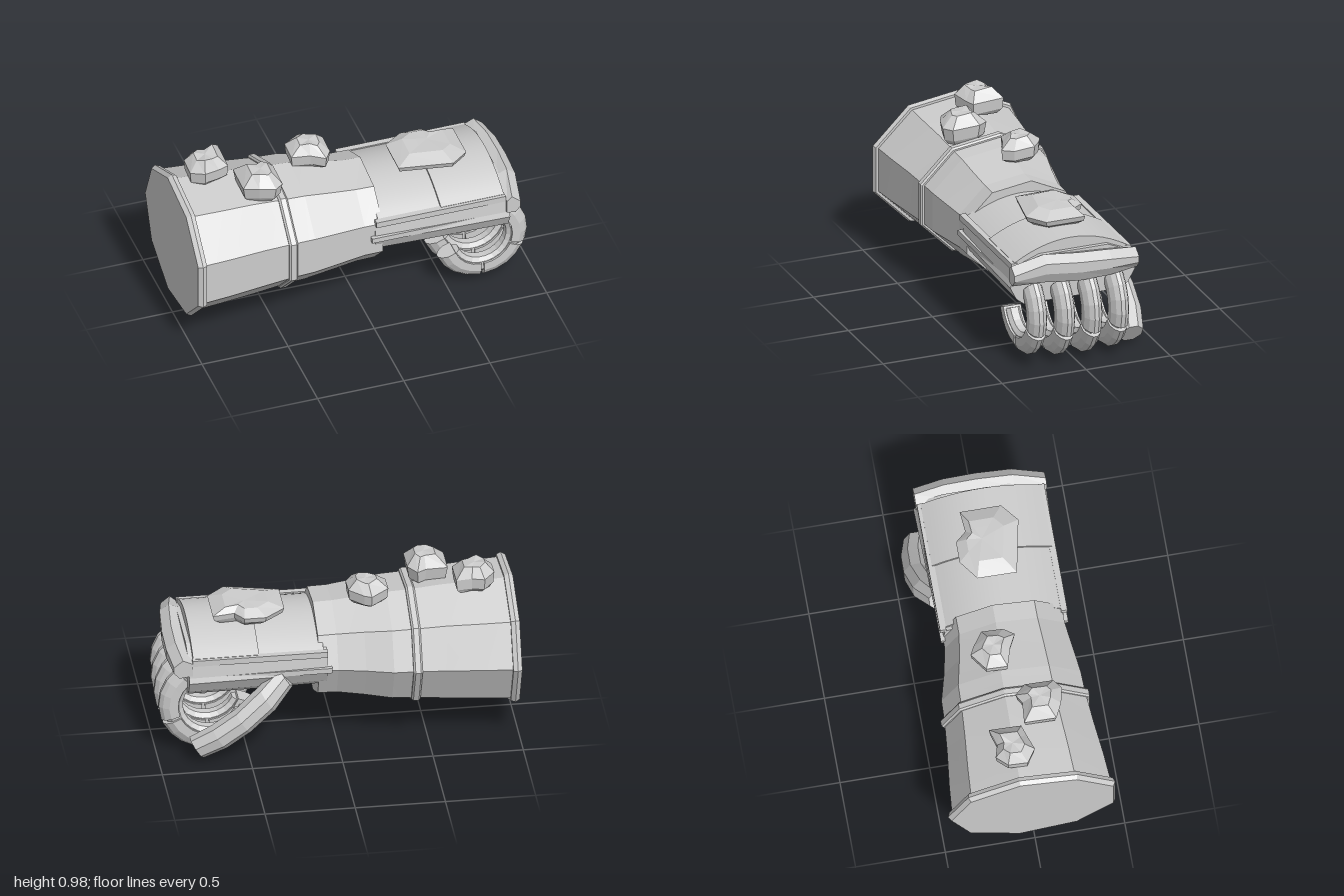
import * as THREE from 'three';
import { toCreasedNormals } from 'three/addons/utils/BufferGeometryUtils.js';

const steel = new THREE.MeshStandardMaterial({ color: 0xcccccc });
steel.name = 'pale grey';

// Skin a list of equal-length rings into a closed solid, always facing outwards
function loft(rings, crease = 0.05) {
  const tris = [];
  const n = rings[0].length;
  for (let i = 0; i < rings.length - 1; i++) {
    for (let j = 0; j < n; j++) {
      const k = (j + 1) % n;
      const a = rings[i][j], b = rings[i][k], c = rings[i + 1][k], d = rings[i + 1][j];
      tris.push([a, b, c], [a, c, d]);
    }
  }
  const cap = (ring, flip) => {
    const mid = ring.reduce((s, p) => s.add(p), new THREE.Vector3()).divideScalar(n);
    ring.forEach((p, j) => {
      const q = ring[(j + 1) % n];
      tris.push(flip ? [mid, q, p] : [mid, p, q]);
    });
  };
  cap(rings[0], true);
  cap(rings[rings.length - 1], false);
  const cross = new THREE.Vector3();
  const volume = tris.reduce((s, [a, b, c]) => s + a.dot(cross.crossVectors(b, c)), 0);
  const points = tris.flatMap(([a, b, c]) => (volume < 0 ? [a, c, b] : [a, b, c]));
  const geometry = new THREE.BufferGeometry().setFromPoints(points);
  return toCreasedNormals(geometry, crease);
}

const V = (x, y, z) => new THREE.Vector3(x, y, z);

function add(parent, name, geometry) {
  const mesh = new THREE.Mesh(geometry, steel);
  mesh.name = name;
  parent.add(mesh);
  return mesh;
}

function addBox(parent, name, x0, x1, y0, y1, z0, z1) {
  add(parent, name, new THREE.BoxGeometry(x1 - x0, y1 - y0, z1 - z0))
    .position.set((x0 + x1) / 2, (y0 + y1) / 2, (z0 + z1) / 2);
}

// Nine-sided elliptical ring of the forearm
const sleeveRing = ([x, ry, rz, cz = 0]) => Array.from({ length: 9 }, (_, i) => {
  const a = (20 + i * 40) * Math.PI / 180;
  return V(x, 0.497 + ry * Math.sin(a), cz + rz * Math.cos(a));
});

// Faceted stone: its plan outline at several heights, [y, scale] per layer
function stone(outline, layers, lean = 0) {
  const c = outline.reduce((s, p) => [s[0] + p[0] / outline.length, s[1] + p[1] / outline.length], [0, 0]);
  return loft(layers.map(([y, s], i) => outline.map(([x, z], j) =>
    V(c[0] + (x - c[0]) * s, y + (i && j % 3 === 0 ? lean : 0), c[1] + (z - c[1]) * s))));
}

// Bent bar following an arc in the x-y plane; profile is [radius, z]
function curl(profile, from, to, steps, scale, z) {
  const rings = [];
  for (let i = 0; i <= steps; i++) {
    const a = (from + (to - from) * i / steps) * Math.PI / 180;
    rings.push(profile.map(([r, w]) =>
      V(0.7 + r * scale * Math.cos(a), 0.3 + (1 - scale) * 0.15 + r * scale * Math.sin(a), z + w)));
  }
  return loft(rings);
}

const mirrored = half => [...half, ...half.slice().reverse().map(([r, w]) => [r, -w])];

export function createModel() {
  const group = new THREE.Group();
  group.name = 'gauntlet';

  // Forearm sleeve with its rim and middle band
  add(group, 'sleeve', loft([
    [-0.98, 0.375, 0.45], [-0.95, 0.375, 0.455], [-0.8, 0.367, 0.443], [-0.6, 0.355, 0.42], [-0.43, 0.337, 0.405],
    [-0.3, 0.33, 0.4], [-0.15, 0.307, 0.37, 0.01], [0, 0.285, 0.345, 0.015], [0.105, 0.282, 0.345, 0.015],
  ].map(sleeveRing)));
  add(group, 'cuffRim', loft([[-1, 0.385, 0.465], [-0.975, 0.4, 0.48], [-0.95, 0.39, 0.47]].map(sleeveRing)));
  add(group, 'sleeveBand', loft([[-0.455, 0.345, 0.415], [-0.445, 0.355, 0.425],
    [-0.415, 0.355, 0.425], [-0.405, 0.345, 0.415]].map(sleeveRing)));

  // Palm block
  const palm = [[0.3, 0.385], [0.345, 0.42], [0.38, 0.49], [0.37, 0.52], [0.36, 0.6], [0.2, 0.66],
    [-0.2, 0.66], [-0.34, 0.6], [-0.35, 0.52], [-0.36, 0.49], [-0.32, 0.42], [-0.28, 0.385]];
  add(group, 'palm', loft([[0.06, 0.93], [0.4, 0.97], [0.83, 1]].map(([x, s]) =>
    palm.map(([z, y]) => V(x, y, z * s)))));

  // Two overlapping curved plates over the back of the hand
  const backPlate = (x0, x1, top, half) => {
    const section = [];
    for (let i = 0; i <= 14; i++) {
      const t = i / 7 - 1;
      section.push([0.01 + t * half, top - 0.1 * t * t]);
    }
    section.push([0.01 + half, 0.59], [0.01 - half, 0.59]);
    return loft([x0, x1].map(x => section.map(([z, y]) => V(x, y, z))), 0.4);
  };
  add(group, 'rearHandPlate', backPlate(0.08, 0.46, 0.715, 0.325));
  add(group, 'frontHandPlate', backPlate(0.44, 0.805, 0.727, 0.335));

  // Side rails of the hand
  for (const [z0, z1] of [[0.33, 0.365], [-0.345, -0.31]]) {
    addBox(group, 'lowerRail', 0.035, 0.81, 0.49, 0.52, z0, z1);
    addBox(group, 'upperRail', 0.06, 0.81, 0.59, 0.625, z0, z1);
  }

  // Knuckle guard: [z, top, bottom, front x]
  add(group, 'knuckleGuard', loft([
    [0.38, 0.625, 0.515, 0.89], [0.2, 0.68, 0.522, 0.92], [0, 0.665, 0.505, 0.935],
    [-0.18, 0.655, 0.51, 0.935], [-0.35, 0.635, 0.525, 0.915],
  ].map(([z, t, b, x]) => [V(0.81, b + 0.01, z), V(0.81, t - 0.025, z), V(x - 0.05, t, z),
    V(x, t - 0.04, z), V(x, (t + b) / 2 - 0.02, z), V(x - 0.03, b, z)])));

  // Four curled fingers, each with three armour segments over a core
  const core = mirrored([[0.155, 0.022], [0.18, 0.04], [0.235, 0.04], [0.262, 0.02]]);
  const armour = mirrored([[0.185, 0.052], [0.235, 0.053], [0.27, 0.036], [0.29, 0.012]]);
  [[0.25, 0.92], [0.09, 0.98], [-0.07, 1], [-0.23, 0.985]].forEach(([z, s]) => {
    const finger = new THREE.Group();
    finger.name = 'finger';
    add(finger, 'fingerCore', curl(core, 52, -156, 14, s, z));
    for (const [from, to] of [[50, -19], [-24, -88], [-93, -160]]) {
      add(finger, 'fingerArmour', curl(armour, from, to, 4, s, z));
    }
    group.add(finger);
  });

  // Thumb: eight-sided bar running forwards and down beside the palm
  const path = [[0.29, 0.47, -0.3, 0.07], [0.4, 0.37, -0.36, 0.08], [0.54, 0.255, -0.392, 0.076],
    [0.67, 0.16, -0.385, 0.076], [0.79, 0.085, -0.355, 0.07]];
  const down = V(-0.55, -0.83, 0), side = V(0, 0, 1);
  add(group, 'thumb', loft(path.map(([x, y, z, r]) => Array.from({ length: 8 }, (_, i) => {
    const a = (i + 0.5) * Math.PI / 4;
    return V(x, y, z).addScaledVector(down, r * Math.cos(a)).addScaledVector(side, r * Math.sin(a));
  }))));

  // Rough stones along the top
  add(group, 'rearStone', stone(
    [[-0.89, -0.13], [-0.83, -0.19], [-0.76, -0.17], [-0.67, -0.2], [-0.67, -0.02], [-0.73, 0], [-0.82, 0.03], [-0.89, -0.02]],
    [[0.84, 0.75], [0.86, 0.95], [0.925, 1], [0.98, 0.55]], 0.012));
  add(group, 'middleStone', stone(
    [[-0.65, 0], [-0.53, 0.01], [-0.48, -0.02], [-0.43, 0.04], [-0.43, 0.2], [-0.48, 0.24], [-0.57, 0.22], [-0.65, 0.18]],
    [[0.8, 0.7], [0.83, 0.9], [0.9, 1], [0.96, 0.5]], 0.008));
  add(group, 'frontStone', stone(
    [[-0.3, -0.15], [-0.2, -0.22], [-0.16, -0.2], [-0.08, -0.14], [-0.08, -0.02], [-0.12, 0.04], [-0.2, 0], [-0.3, -0.03]],
    [[0.8, 0.7], [0.82, 0.95], [0.88, 1], [0.93, 0.5]], 0.01));
  add(group, 'handStone', stone(
    [[0.27, -0.1], [0.38, -0.18], [0.5, -0.18], [0.55, -0.12], [0.67, -0.13], [0.67, 0.1], [0.57, 0.18], [0.27, 0.12]],
    [[0.72, 0.75], [0.745, 0.95], [0.775, 1], [0.81, 0.6]], 0.006));

  return group;
}
